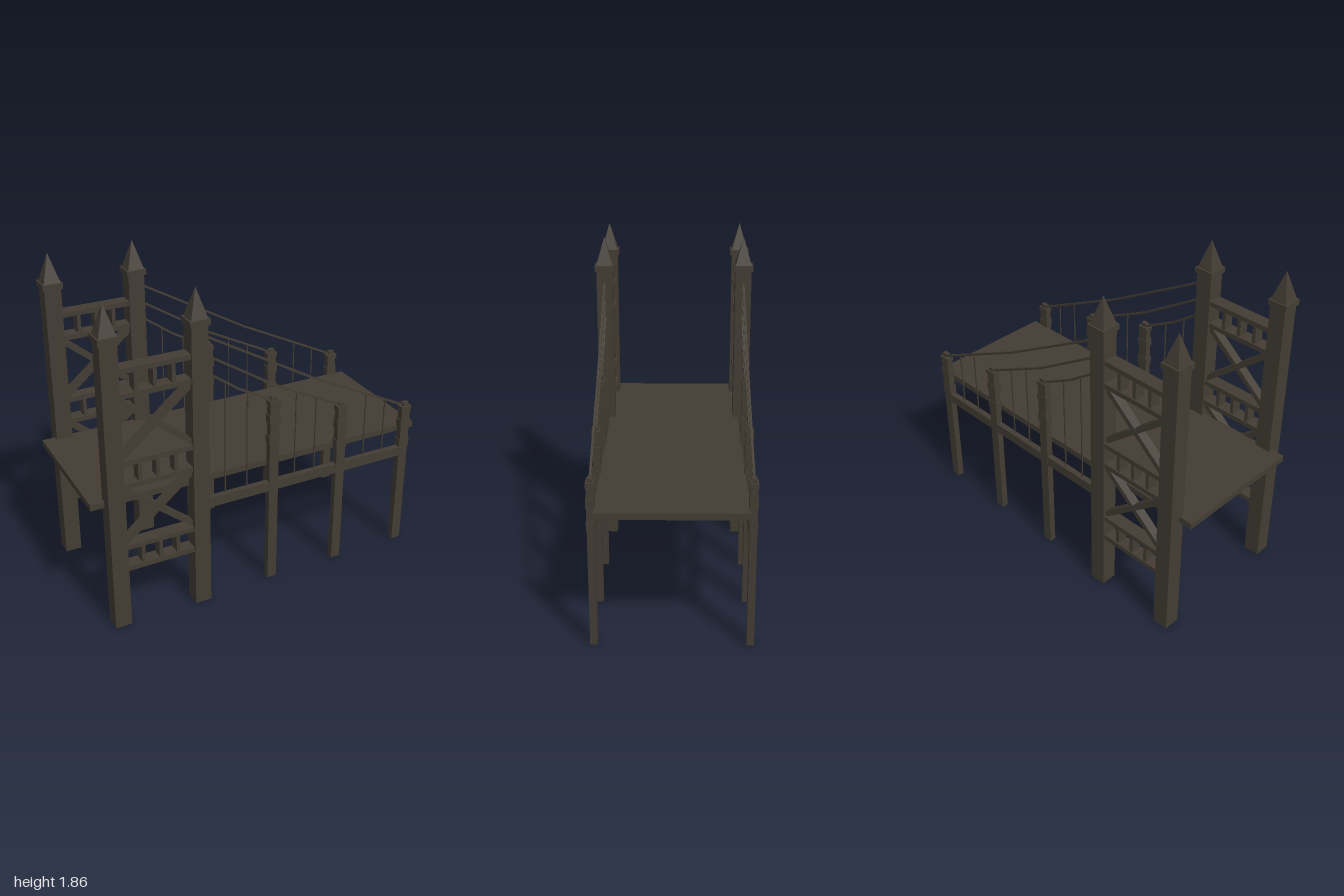
import * as THREE from 'three';

const darkIron = new THREE.MeshStandardMaterial({ color: 0x423c33 });
darkIron.name = 'darkIron';

function addMesh(parent, name, geometry, x, y, z) {
  const mesh = new THREE.Mesh(geometry, darkIron);
  mesh.name = name;
  mesh.position.set(x, y, z);
  parent.add(mesh);
  return mesh;
}

const addBox = (parent, name, w, h, d, x, y, z = 0) =>
  addMesh(parent, name, new THREE.BoxGeometry(w, h, d), x, y, z);

// Bar of rectangular section between two points in the XY plane
function addBar(parent, name, [x0, y0], [x1, y1], height, depth, z = 0) {
  const bar = addBox(parent, name, Math.hypot(x1 - x0, y1 - y0), height, depth,
    (x0 + x1) / 2, (y0 + y1) / 2, z);
  bar.rotation.z = Math.atan2(y1 - y0, x1 - x0);
  return bar;
}

// Square tower column with a cap and a pyramid spire
function towerColumn(x) {
  const column = new THREE.Group();
  column.name = 'towerColumn';
  column.position.x = x;
  addBox(column, 'columnShaft', 0.093, 1.67, 0.093, 0, 0.835);
  addBox(column, 'columnCap', 0.112, 0.033, 0.112, 0, 1.68);
  const spire = new THREE.ConeGeometry(0.047 * Math.SQRT2, 0.16, 4, 1).toNonIndexed();
  spire.rotateY(Math.PI / 4);
  spire.computeVertexNormals();
  addMesh(column, 'spire', spire, 0, 1.776, 0);
  return column;
}

// Ladder-like rails and crossed braces between the two columns
function towerLattice() {
  const lattice = new THREE.Group();
  lattice.name = 'towerLattice';
  const mid = -0.637, left = -0.835, right = -0.44;
  for (const y of [1.438, 0.927, 0.423]) {
    for (const s of [-1, 1]) addBox(lattice, 'rail', 0.41, 0.028, 0.076, mid, y + s * 0.067);
    for (const dx of [-0.101, 0, 0.101]) addBox(lattice, 'railPost', 0.021, 0.11, 0.06, mid + dx, y);
  }
  for (const [low, high] of [[1.015, 1.348], [0.512, 0.84]]) {
    addBar(lattice, 'crossBrace', [left, low], [right, high], 0.03, 0.05);
    addBar(lattice, 'crossBrace', [left, high], [right, low], 0.03, 0.048);
  }
  return lattice;
}

// Slim pier post with collars below its finial
function pierPost(x, top) {
  const post = new THREE.Group();
  post.name = 'pierPost';
  post.position.x = x;
  addBox(post, 'postShaft', 0.056, top - 0.03, 0.038, 0, (top - 0.03) / 2);
  addBox(post, 'postFinial', 0.036, 0.03, 0.026, 0, top - 0.015);
  for (const [drop, h] of [[0.035, 0.026], [0.131, 0.048], [0.255, 0.048]]) {
    addBox(post, 'postCollar', 0.066, h, 0.044, 0, top - drop);
  }
  return post;
}

// Cables, each with the x positions of the hangers below it
const cables = [
  { points: [[-0.36, 1.396], [-0.16, 1.251], [0.045, 1.138]], hangers: [-0.237, -0.106] },
  { points: [[-0.36, 1.49], [0.064, 1.22], [0.48, 1.008]], hangers: [0.193, 0.32] },
  { points: [[-0.36, 1.592], [0.294, 1.214], [0.915, 0.905]], hangers: [0.648, 0.779] },
];

function heightOnCable(points, x) {
  const i = x < points[1][0] ? 0 : 1;
  const [a, b] = [points[i], points[i + 1]];
  return a[1] + (b[1] - a[1]) * (x - a[0]) / (b[0] - a[0]);
}

function suspension() {
  const group = new THREE.Group();
  group.name = 'suspension';
  for (const { points, hangers } of cables) {
    for (let i = 0; i < 2; i++) addBar(group, 'cable', points[i], points[i + 1], 0.011, 0.013);
    for (const x of hangers) {
      const top = heightOnCable(points, x);
      addBox(group, 'hanger', 0.006, top - 0.63, 0.006, x, (top + 0.63) / 2);
    }
  }
  return group;
}

export function createModel() {
  const bridge = new THREE.Group();
  bridge.name = 'bridge';
  addBox(bridge, 'deck', 2, 0.036, 0.768, 0, 0.752);

  // Matching structure along both sides of the deck
  for (const z of [-0.402, 0.402]) {
    const side = new THREE.Group();
    side.name = z > 0 ? 'frontSide' : 'backSide';
    side.position.z = z;
    side.add(towerColumn(-0.877), towerColumn(-0.398), towerLattice(), suspension());
    side.add(pierPost(0.052, 1.16), pierPost(0.485, 1.027), pierPost(0.92, 0.925));
    addBox(side, 'sideBeam', 1.27, 0.057, 0.034, 0.27, 0.613);
    bridge.add(side);
  }
  return bridge;
}
